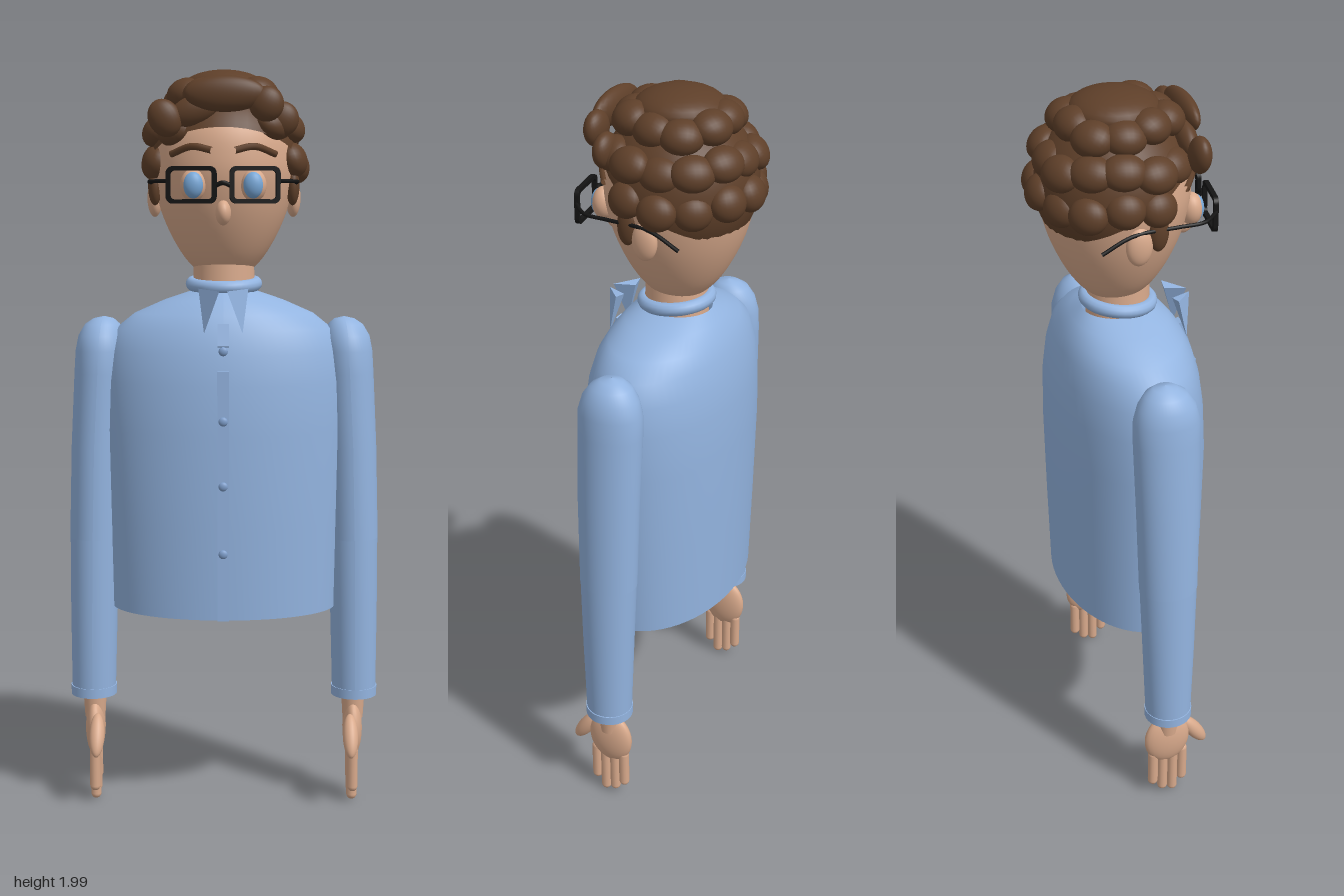
import * as THREE from 'three';

const mat = (name, color, side = THREE.FrontSide) => {
  const m = new THREE.MeshStandardMaterial({ color, side });
  m.name = name;
  return m;
};
const V = (x, y, z) => new THREE.Vector3(x, y, z);

export function createModel() {
  const model = new THREE.Group();
  const shirt = mat('shirt blue', 0x93b4e0, THREE.DoubleSide);
  const button = mat('button blue', 0x7f9fcc);
  const skin = mat('skin', 0xd9aa8c);
  const hair = mat('hair brown', 0x5e3f29, THREE.DoubleSide);
  const black = mat('frame black', 0x141414);
  const iris = mat('iris blue', 0x78a8d8);

  const add = (name, geo, material, parent = model) => {
    const m = new THREE.Mesh(geo, material);
    m.name = name;
    parent.add(m);
    return m;
  };
  const ball = (name, material, pos, size, parent = model) => {
    const m = add(name, new THREE.SphereGeometry(1, 24, 16), material, parent);
    m.position.set(...pos);
    m.scale.set(...size);
    return m;
  };
  const tube = (name, pts, r, material, parent = model) =>
    add(name, new THREE.TubeGeometry(new THREE.CatmullRomCurve3(pts, false, 'centripetal'), 24, r, 8), material, parent);
  // surface through elliptical rings [y, centre x, half x, front z, back z]
  const loft = (rings, seg = 48) => {
    const pos = [], idx = [];
    rings.forEach(([y, cx, hx, f, b], j) => {
      for (let i = 0; i <= seg; i++) {
        const a = (i / seg) * Math.PI * 2;
        pos.push(cx + hx * Math.sin(a), y, (f + b) / 2 + ((f - b) / 2) * Math.cos(a));
        if (j && i < seg) {
          const p = (j - 1) * (seg + 1) + i, q = p + seg + 1;
          idx.push(p, p + 1, q, p + 1, q + 1, q);
        }
      }
    });
    const g = new THREE.BufferGeometry();
    g.setAttribute('position', new THREE.Float32BufferAttribute(pos, 3));
    g.setIndex(idx);
    g.computeVertexNormals();
    return g;
  };

  // Shirt body, open at the hem
  add('shirtBody', loft([
    [0.56, 0, 0.305, 0.218, -0.168], [0.8, 0, 0.315, 0.222, -0.174], [1.05, 0, 0.326, 0.223, -0.178],
    [1.18, 0, 0.325, 0.215, -0.175], [1.26, 0, 0.314, 0.203, -0.165], [1.32, 0, 0.29, 0.185, -0.15],
    [1.36, 0, 0.24, 0.164, -0.134], [1.395, 0, 0.16, 0.136, -0.112], [1.42, 0, 0.085, 0.1, -0.085],
  ], 64), shirt);

  // Button strip
  add('buttonStrip', new THREE.BoxGeometry(0.03, 0.66, 0.012), shirt).position.set(0, 0.89, 0.222);
  const strip = add('upperStrip', new THREE.BoxGeometry(0.03, 0.06, 0.012), shirt);
  strip.position.set(0, 1.31, 0.19);
  strip.rotation.x = -0.32;
  [[1.27, 0.203], [1.09, 0.228], [0.92, 0.229], [0.74, 0.228]].forEach(([y, z]) =>
    ball('button', button, [0, y, z], [0.012, 0.012, 0.007]));

  // Collar band and pointed flaps
  const collar = add('collarBand', new THREE.TorusGeometry(0.085, 0.018, 12, 40), shirt);
  collar.position.set(0, 1.438, 0.01);
  collar.rotation.x = Math.PI / 2 + 0.1;
  for (const s of [-1, 1]) {
    const g = new THREE.BufferGeometry();
    g.setAttribute('position', new THREE.Float32BufferAttribute([
      s * 0.01, 1.425, 0.205, s * 0.065, 1.43, 0.155, s * 0.05, 1.315, 0.185, s * 0.03, 1.425, 0.15], 3));
    g.setIndex([0, 1, 2, 0, 2, 3, 1, 3, 2, 0, 3, 1]);
    const flap = g.toNonIndexed();
    flap.computeVertexNormals();
    add('collarFlap', flap, shirt);
  }

  // Neck and head
  add('neck', new THREE.CylinderGeometry(0.08, 0.085, 0.16, 32), skin).position.set(0, 1.44, 0.01);
  const profile = [[0, 1.455], [0.05, 1.46], [0.095, 1.495], [0.135, 1.555], [0.168, 1.63], [0.188, 1.71],
    [0.19, 1.77], [0.18, 1.83], [0.15, 1.88], [0.08, 1.935], [0, 1.95]].map(p => new THREE.Vector2(...p));
  add('head', new THREE.LatheGeometry(new THREE.SplineCurve(profile).getPoints(40), 48), skin);
  ball('nose', skin, [0, 1.625, 0.185], [0.02, 0.032, 0.03]);

  // Hair cap tilted back, covered in curls
  const cap = add('hairCap', new THREE.SphereGeometry(0.2, 40, 20, 0, Math.PI * 2, 0, 1.65), hair);
  cap.position.y = 1.76;
  cap.rotation.x = -0.5;
  ball('crownCurl', hair, [0, 1.95, 0], [0.115, 0.05, 0.115]);
  const curl = (a, r, y, size) => {
    const c = ball('curl', hair, [r * Math.sin(a), y, r * Math.cos(a)], size);
    c.lookAt(V(0, 1.7, 0).lerp(c.position, 3));
  };
  // rows: radius, height, count, start angle from the front, size
  [[0.12, 1.925, 10, 0.2, [0.055, 0.048, 0.04]],
    [0.173, 1.845, 11, 0.85, [0.056, 0.046, 0.036]],
    [0.19, 1.755, 9, 1.3, [0.05, 0.046, 0.036]]].forEach(([r, y, n, start, size], k) => {
    for (let i = 0; i < n; i++) {
      const a = k ? start + (i / (n - 1)) * 2 * (Math.PI - start) : start + (i / n) * Math.PI * 2;
      curl(a, r + 0.008 * Math.sin(i * 2.3), y + 0.01 * Math.sin(i * 1.7 + k), size);
    }
  });
  // Fringe
  [[-0.15, 1.865, 0.165, 0.042, 0.05, 0.5], [-0.075, 1.885, 0.155, 0.065, 0.038, 0.35],
    [0.005, 1.925, 0.178, 0.105, 0.046, 0], [0.11, 1.9, 0.172, 0.045, 0.045, -0.45],
    [0.15, 1.865, 0.125, 0.045, 0.045, -0.5]].forEach(([x, y, z, w, h, tilt]) => {
    ball('fringeCurl', hair, [x, y, z], [w, h, 0.027]).rotation.z = tilt;
  });

  for (const s of [-1, 1]) {
    // Face details
    ball('ear', skin, [s * 0.185, 1.665, 0], [0.02, 0.05, 0.034]);
    ball('sideburn', hair, [s * 0.182, 1.695, 0.05], [0.018, 0.05, 0.026]);
    ball('eye', skin, [s * 0.078, 1.695, 0.175], [0.033, 0.042, 0.03]);
    ball('iris', iris, [s * 0.077, 1.695, 0.19], [0.026, 0.034, 0.019]);
    const brow = tube('eyebrow', [V(s * 0.03, 1.783, 0.19), V(s * 0.08, 1.793, 0.174), V(s * 0.135, 1.775, 0.137)], 0.009, hair);
    brow.scale.z = 1.01;

    // Glasses: rounded frame, then temple arm
    const rounded = (path, w, h, r) => {
      path.moveTo(-w + r, -h);
      path.lineTo(w - r, -h).absarc(w - r, -h + r, r, -Math.PI / 2, 0);
      path.lineTo(w, h - r).absarc(w - r, h - r, r, 0, Math.PI / 2);
      path.lineTo(-w + r, h).absarc(-w + r, h - r, r, Math.PI / 2, Math.PI);
      path.lineTo(-w, -h + r).absarc(-w + r, -h + r, r, Math.PI, Math.PI * 1.5);
      return path;
    };
    const outline = rounded(new THREE.Shape(), 0.065, 0.047, 0.018);
    outline.holes.push(rounded(new THREE.Path(), 0.054, 0.036, 0.01));
    const frame = add('lensFrame', new THREE.ExtrudeGeometry(outline, { depth: 0.012, bevelEnabled: false, curveSegments: 6 }), black);
    frame.position.set(s * 0.08, 1.695, 0.22);
    frame.rotation.y = s * 0.16;
    tube('templeArm', [V(s * 0.142, 1.705, 0.218), V(s * 0.188, 1.705, 0.165), V(s * 0.19, 1.704, 0.1),
      V(s * 0.195, 1.7, -0.02), V(s * 0.197, 1.665, -0.1)], 0.005, black);

    // Sleeve: upper, lower and cuff
    const arm = new THREE.Group();
    arm.name = s > 0 ? 'leftArm' : 'rightArm';
    model.add(arm);
    add('upperSleeve', loft([
      [0.75, s * 0.353, 0.068, 0.105, -0.052], [1.0, s * 0.346, 0.068, 0.108, -0.06], [1.2, s * 0.335, 0.069, 0.108, -0.066],
      [1.26, s * 0.332, 0.068, 0.107, -0.065], [1.3, s * 0.33, 0.062, 0.095, -0.054], [1.33, s * 0.327, 0.047, 0.074, -0.035],
      [1.345, s * 0.324, 0.027, 0.05, -0.012], [1.351, s * 0.323, 0.001, 0.021, 0.019]]), shirt, arm);
    add('lowerSleeve', loft([
      [0.32, s * 0.36, 0.06, 0.094, -0.032], [0.55, s * 0.357, 0.064, 0.1, -0.042], [0.76, s * 0.353, 0.067, 0.104, -0.051]]), shirt, arm);
    const cuff = add('cuff', new THREE.CylinderGeometry(0.063, 0.063, 0.026, 32), shirt, arm);
    cuff.position.set(s * 0.36, 0.32, 0.031);
    cuff.scale.z = 1.04;

    // Hand with four fingers and a thumb pointing forward
    const hand = new THREE.Group();
    hand.name = 'hand';
    arm.add(hand);
    add('wrist', new THREE.CylinderGeometry(0.033, 0.028, 0.08, 20), skin, hand).position.set(s * 0.358, 0.28, 0.031);
    ball('palm', skin, [s * 0.357, 0.21, 0.031], [0.027, 0.082, 0.066], hand);
    [[0.078, 0.04], [0.05, 0.008], [0.02, 0.018], [-0.009, 0.045]].forEach(([z, tip]) => {
      const len = 0.17 - tip;
      add('finger', new THREE.CapsuleGeometry(0.0145, len - 0.029, 6, 12), skin, hand).position.set(s * 0.356, tip + len / 2, z);
    });
    const thumb = ball('thumb', skin, [s * 0.347, 0.21, 0.115], [0.021, 0.062, 0.022], hand);
    thumb.rotation.x = -0.6;
  }
  tube('glassesBridge', [V(-0.02, 1.693, 0.232), V(0, 1.7, 0.237), V(0.02, 1.693, 0.232)], 0.006, black);

  return model;
}
